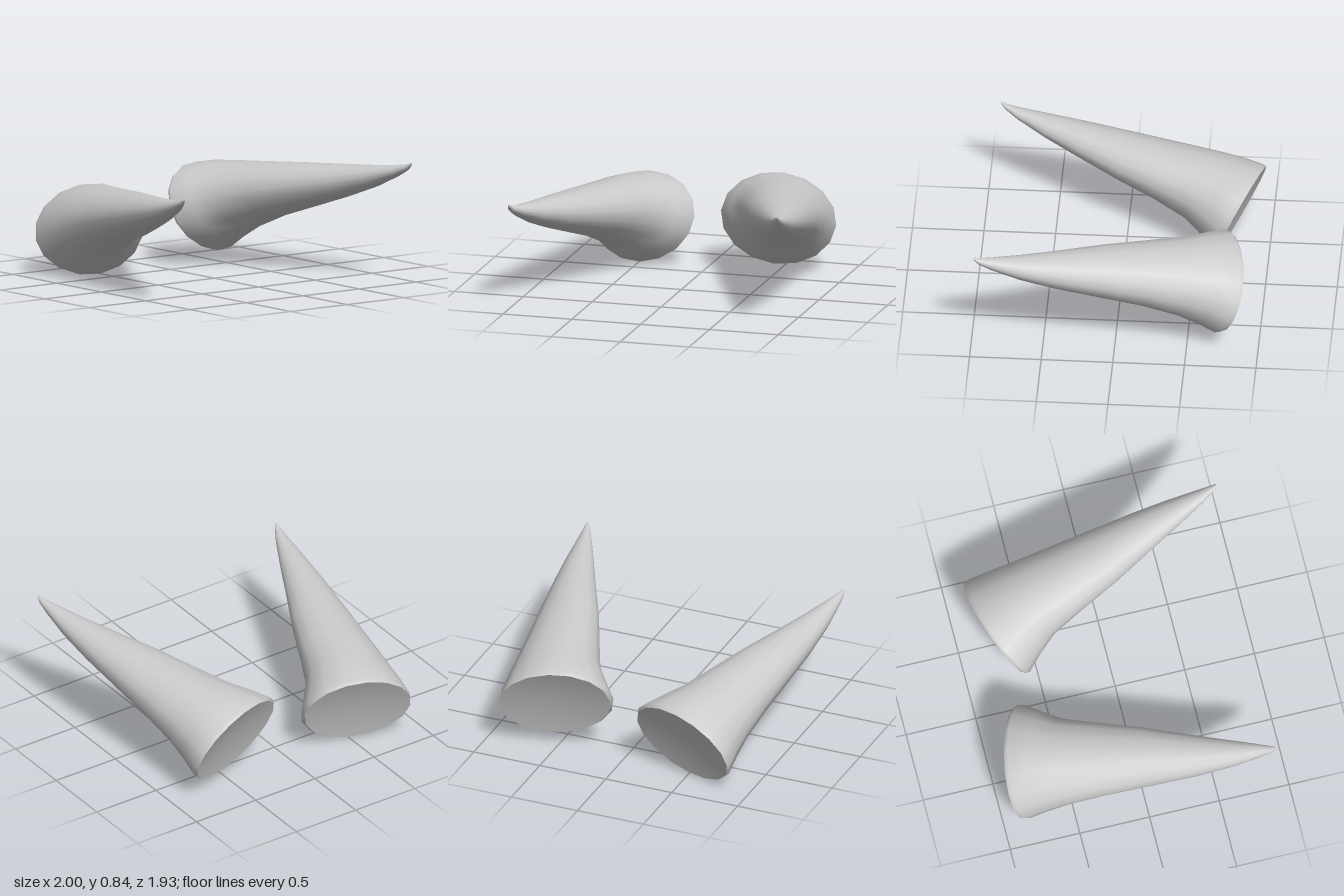
import * as THREE from 'three';

const SIDES = 16;

// Cross-sections from base to tip: z, inner x, outer x, bottom y, top y, tilt
const STATIONS = [
  [-0.745, 0.115, 0.875, 0.085, 0.655, 1],
  [-0.715, 0.105, 0.885, 0.08, 0.675, 1],
  [-0.60, 0.20, 0.888, 0.165, 0.70, 1],
  [-0.45, 0.305, 0.895, 0.25, 0.715, 0.9],
  [-0.20, 0.41, 0.92, 0.35, 0.735, 0.7],
  [0.10, 0.535, 0.953, 0.445, 0.76, 0.5],
  [0.40, 0.68, 0.985, 0.545, 0.78, 0.3],
  [0.65, 0.80, 1.0, 0.64, 0.797, 0.2],
  [0.85, 0.90, 1.0, 0.735, 0.817, 0.1],
  [0.94, 0.952, 0.998, 0.79, 0.832, 0],
  [0.968, 0.972, 0.992, 0.825, 0.845, 0],
];

// One ring of points: a skewed ellipse leaning with the base plane
function ring([z, x0, x1, y0, y1, tilt]) {
  const points = [];
  for (let j = 0; j < SIDES; j++) {
    const a = (j / SIDES) * Math.PI * 2;
    const dx = Math.cos(a) * (x1 - x0) / 2;
    const dy = Math.sin(a) * (y1 - y0) / 2 - 0.13 * tilt * dx;
    points.push(new THREE.Vector3(
      (x0 + x1) / 2 + dx, (y0 + y1) / 2 + dy, z - tilt * (0.3 * dx + 0.41 * dy)));
  }
  return points;
}

// Indexed geometry, mirrored in x for side = -1 with the winding kept outward
function makeGeometry(points, triangles, side) {
  const index = triangles.flatMap(([a, b, c]) => (side > 0 ? [a, b, c] : [a, c, b]));
  const g = new THREE.BufferGeometry();
  g.setAttribute('position', new THREE.Float32BufferAttribute(
    points.flatMap((p) => [p.x * side, p.y, p.z]), 3));
  g.setIndex(index);
  g.computeVertexNormals();
  return g;
}

function makeHorn(name, side) {
  const material = new THREE.MeshStandardMaterial({ color: 0xcccccc });
  const rings = STATIONS.map(ring);
  const horn = new THREE.Group();
  horn.name = name;

  // Tapering body, closed by a small blunt tip
  const points = rings.flat();
  const triangles = [];
  const last = (rings.length - 1) * SIDES;
  const tip = points.push(new THREE.Vector3(0.983, 0.836, 0.973)) - 1;
  for (let j = 0; j < SIDES; j++) {
    const k = (j + 1) % SIDES;
    for (let i = 0; i < last; i += SIDES) {
      triangles.push([i + j, i + k, i + SIDES + k], [i + j, i + SIDES + k, i + SIDES + j]);
    }
    triangles.push([last + j, last + k, tip]);
  }
  const body = new THREE.Mesh(makeGeometry(points, triangles, side), material);
  body.name = 'hornBody';

  // Slightly hollowed base
  const rim = rings[0];
  const centre = rim.reduce((s, p) => s.add(p), new THREE.Vector3()).divideScalar(SIDES);
  centre.add(new THREE.Vector3(0.01, 0.015, 0.04));
  const fan = rim.map((_, j) => [SIDES, (j + 1) % SIDES, j]);
  const base = new THREE.Mesh(makeGeometry([...rim, centre], fan, side), material);
  base.name = 'hornBase';

  horn.add(body, base);
  return horn;
}

export function createModel() {
  const model = new THREE.Group();
  model.name = 'hornPair';
  const left = makeHorn('leftHorn', 1);
  // The right horn sits a little lower and further back
  const right = makeHorn('rightHorn', -1);
  right.position.set(0, -0.075, -0.06);
  model.add(left, right);
  return model;
}
